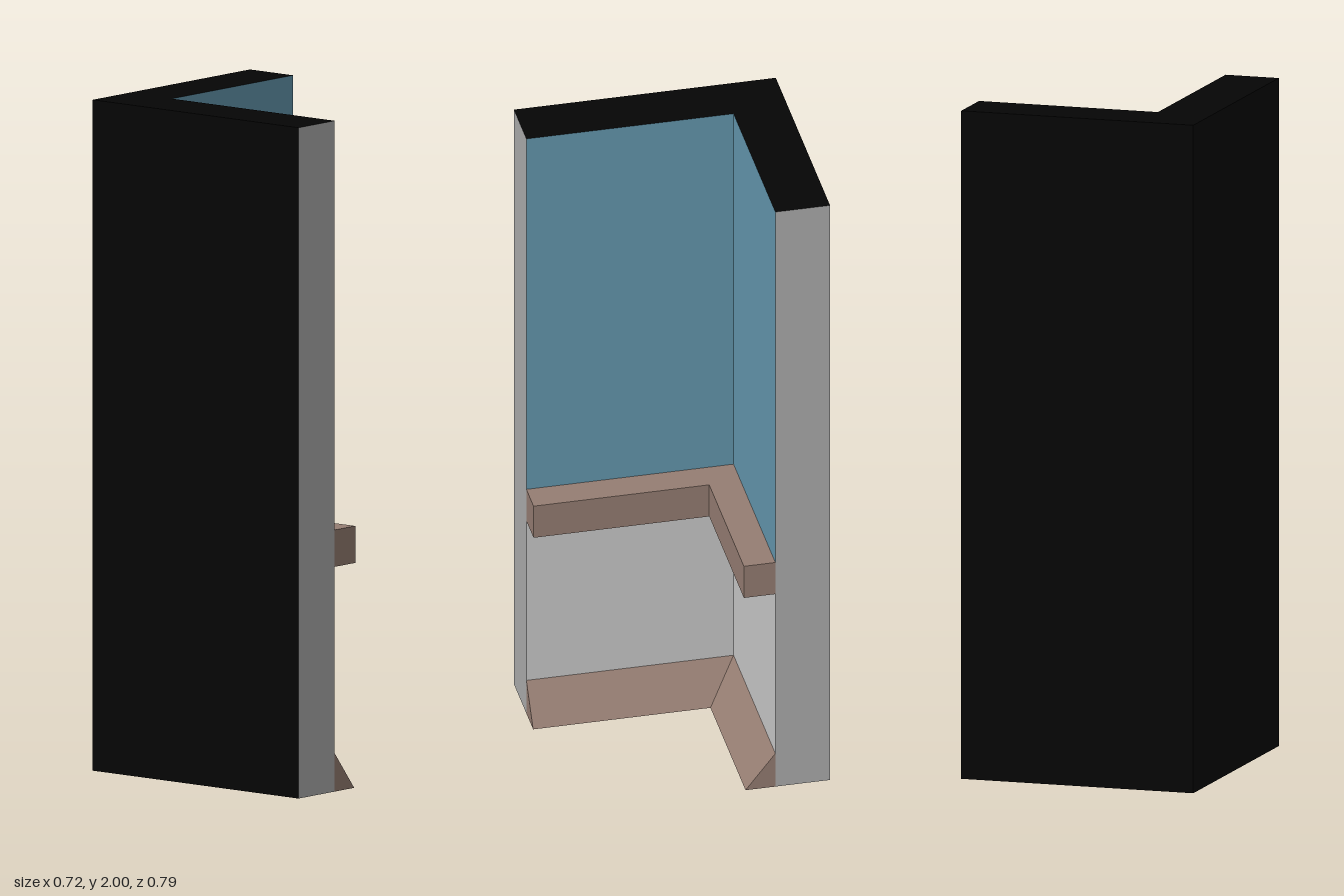
import * as THREE from 'three';

// Inner wall corner, and where the two wings of the wall end
const CORNER_X = -0.195, CORNER_Z = -0.23, END_X = 0.36, END_Z = 0.395;
const THICK = 0.165, HEIGHT = 2;

const COLORS = {
  black: 0x050505, blue: 0x6498af, brown: 0x967e73, grey: 0xcccccc, endGrey: 0xaeaeae,
};

// Places a profile point [distance from inner wall, height] at the
// left wing's end (0), the mitred corner (1) or the back wing's end (2)
function station(i, [d, y]) {
  return [
    i === 2 ? END_X : CORNER_X + d,
    y,
    i === 0 ? END_Z : CORNER_Z + d,
  ];
}

function makeMesh(name, corners, color) {
  const geometry = new THREE.BufferGeometry();
  geometry.setAttribute('position', new THREE.Float32BufferAttribute(corners.flat(), 3));
  geometry.computeVertexNormals();
  const material = new THREE.MeshStandardMaterial({ color: COLORS[color], flatShading: true });
  const mesh = new THREE.Mesh(geometry, material);
  mesh.name = name;
  return mesh;
}

// One profile edge carried along the given wings (0 = left, 1 = back)
function strip(name, a, b, color, wings = [0, 1]) {
  const corners = [];
  for (const w of wings) {
    const a0 = station(w, a), a1 = station(w + 1, a);
    const b0 = station(w, b), b1 = station(w + 1, b);
    corners.push(a0, a1, b1, a0, b1, b0);
  }
  return makeMesh(name, corners, color);
}

// Flat end faces of a convex, counterclockwise profile
function endCaps(name, profile, color) {
  const corners = [];
  for (let i = 1; i < profile.length - 1; i++) {
    const [p, q, r] = [profile[0], profile[i], profile[i + 1]];
    corners.push(station(0, p), station(0, q), station(0, r));
    corners.push(station(2, p), station(2, r), station(2, q));
  }
  return makeMesh(name, corners, color);
}

function part(name, ...meshes) {
  const group = new THREE.Group();
  group.name = name;
  group.add(...meshes);
  return group;
}

export function createModel() {
  const model = new THREE.Group();
  model.name = 'cornerWall';

  // L-shaped wall: black shell, two-tone inner face, grey ends
  const wall = [[-THICK, 0], [0, 0], [0, HEIGHT], [-THICK, HEIGHT]];
  const split = [0, 0.725];
  model.add(part('wall',
    strip('wallBottom', wall[0], wall[1], 'black'),
    strip('lowerWallFace', wall[1], split, 'grey'),
    strip('upperWallFace', split, wall[2], 'blue'),
    strip('wallTop', wall[2], wall[3], 'black'),
    strip('wallBack', wall[3], wall[0], 'black'),
    endCaps('wallEnds', wall, 'endGrey'),
  ));

  // Square chair rail running around the corner
  const rail = [[0, 0.67], [0.095, 0.67], [0.095, 0.78], [0, 0.78]];
  model.add(part('chairRail',
    strip('railBottom', rail[0], rail[1], 'brown'),
    strip('railFront', rail[1], rail[2], 'brown'),
    strip('railTop', rail[2], rail[3], 'brown'),
    endCaps('railEnds', rail, 'brown'),
  ));

  // Wedge-shaped skirting board at the floor
  const skirting = [[0, 0], [0.09, 0], [0, 0.115]];
  model.add(part('skirting',
    strip('skirtingSlope', skirting[1], skirting[2], 'brown'),
    strip('leftSkirtingBottom', skirting[0], skirting[1], 'grey', [0]),
    strip('backSkirtingBottom', skirting[0], skirting[1], 'black', [1]),
    endCaps('skirtingEnds', skirting, 'brown'),
  ));

  return model;
}
